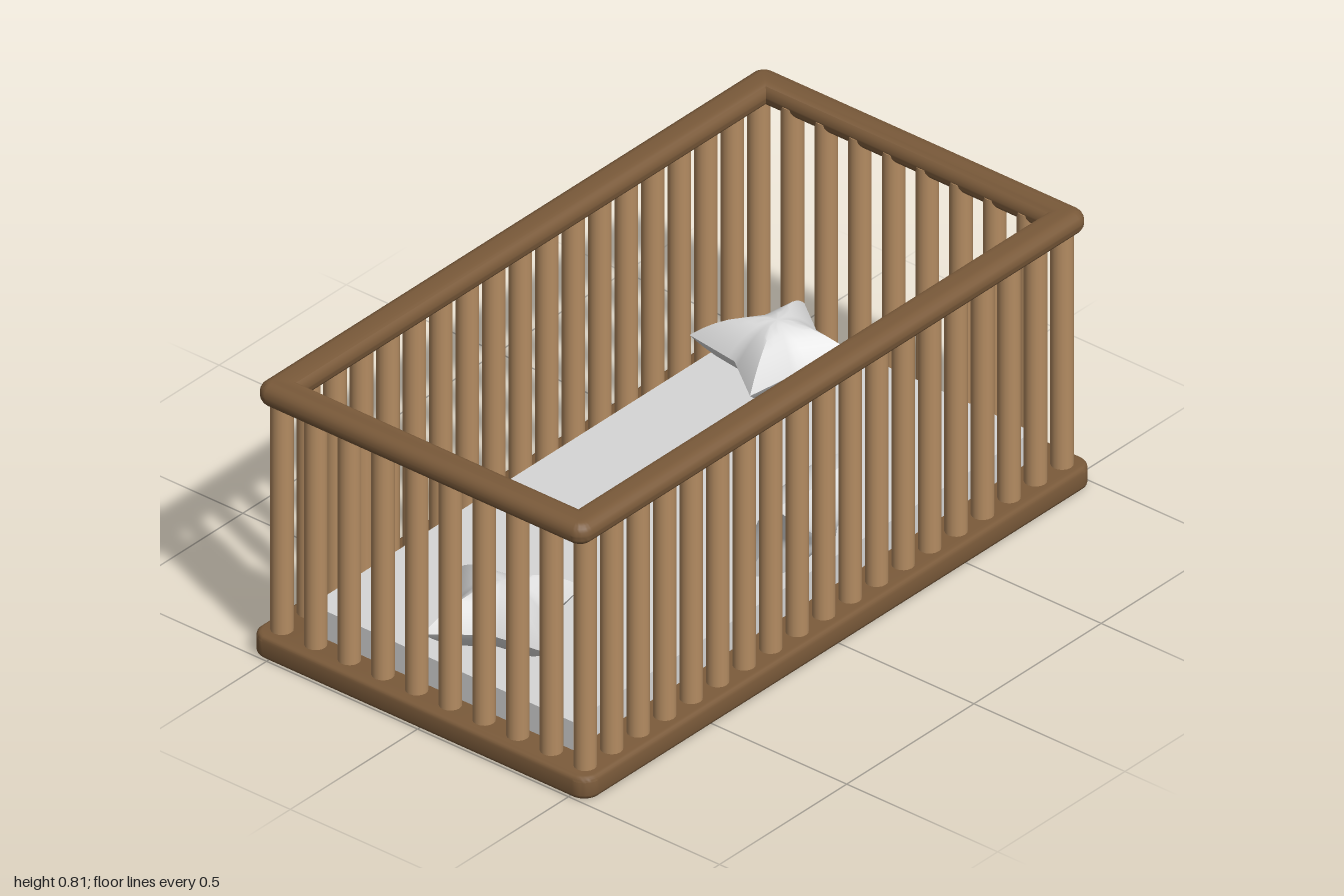
import * as THREE from 'three';
import { mergeVertices, toCreasedNormals } from 'three/addons/utils/BufferGeometryUtils.js';

const flat = (name, color) => {
  const m = new THREE.MeshStandardMaterial({ color });
  m.name = name;
  return m;
};

// Rectangle outline with rounded corners
function roundedRect(hx, hy, r) {
  const s = new THREE.Shape();
  s.absarc(hx - r, hy - r, r, 0, Math.PI / 2);
  s.absarc(-hx + r, hy - r, r, Math.PI / 2, Math.PI);
  s.absarc(-hx + r, -hy + r, r, Math.PI, Math.PI * 1.5);
  s.absarc(hx - r, -hy + r, r, Math.PI * 1.5, Math.PI * 2);
  s.closePath();
  return s;
}

// Lay an outline flat and raise it from y0 to y1 with rounded edges
function slab(shape, y0, y1, bevel, steps) {
  const geo = new THREE.ExtrudeGeometry(shape, {
    depth: y1 - y0 - 2 * bevel, bevelEnabled: true, bevelThickness: bevel,
    bevelSize: bevel, bevelSegments: steps, curveSegments: 5
  });
  geo.rotateX(-Math.PI / 2);
  geo.translate(0, y0 + bevel, 0);
  return toCreasedNormals(geo, 0.7);
}

// Puffed four-pointed star: a sphere pulled out to a star outline
function starCushionGeometry(tip, notch, halfThick) {
  const geo = new THREE.SphereGeometry(1, 32, 16);
  geo.deleteAttribute('uv');
  geo.deleteAttribute('normal');
  const p = geo.attributes.position;
  const a = Math.PI / 4;
  for (let i = 0; i < p.count; i++) {
    const x = p.getX(i), y = p.getY(i), z = p.getZ(i);
    const t = Math.min(1, Math.hypot(x, z));
    const ang = Math.atan2(z, x);
    const turn = ang - Math.round(ang / (2 * a)) * 2 * a;
    const phi = Math.abs(turn);
    const r = tip * notch * Math.sin(a) / (notch * Math.sin(a - phi) + tip * Math.sin(phi));
    const h = Math.abs(y) < 1e-6 ? 0 : Math.sign(y) * halfThick * (1 - Math.pow(t, 2.2));
    p.setXYZ(i, r * t * Math.cos(ang), h, r * t * Math.sin(ang));
  }
  return toCreasedNormals(mergeVertices(geo, 1e-5), 1.0);
}

export function createModel() {
  const model = new THREE.Group();
  const darkWood = flat('darkWood', 0x7a5a3a);
  const lightWood = flat('lightWood', 0xb48c62);
  const sheet = flat('sheet', 0xd6d6d6);
  const cushionCloth = flat('cushionCloth', 0xdedede);

  const add = (name, geo, mat, parent = model) => {
    const mesh = new THREE.Mesh(geo, mat);
    mesh.name = name;
    parent.add(mesh);
    return mesh;
  };

  // Solid base board
  const edge = 0.014;
  add('base', slab(roundedRect(0.56 - edge, 1 - edge, 0.035), 0, 0.066, edge, 3), darkWood);

  // Rounded top rail running all the way round
  const round = 0.03;
  const rail = roundedRect(0.545 - round, 1 - round, 0.012);
  const hx = 0.455 + round, hz = 0.91 + round;
  rail.holes.push(new THREE.Path([
    new THREE.Vector2(-hx, -hz), new THREE.Vector2(-hx, hz),
    new THREE.Vector2(hx, hz), new THREE.Vector2(hx, -hz)
  ]));
  add('topRail', slab(rail, 0.75, 0.815, round, 5), darkWood);

  // Upright bars: full rows on the long sides, the gaps filled at the ends
  const bars = new THREE.Group();
  bars.name = 'bars';
  model.add(bars);
  const barGeo = new THREE.CylinderGeometry(0.03, 0.03, 0.74, 16);
  const bar = (name, x, z) => add(name, barGeo, lightWood, bars).position.set(x, 0.41, z);
  const barX = 0.502, barZ = 0.937;
  for (const side of [-1, 1]) {
    for (let i = 0; i < 19; i++) {
      bar('sideBar', side * barX, -barZ + (2 * barZ * i) / 18);
    }
    for (let i = 1; i < 9; i++) {
      bar('endBar', -barX + (2 * barX * i) / 9, side * barZ);
    }
  }

  // Mattress
  add('mattress', new THREE.BoxGeometry(0.866, 0.1, 1.806), sheet).position.set(0, 0.1, 0);

  // Star cushions: two lying flat, one leaning against the left side bars
  const star = starCushionGeometry(0.232, 0.122, 0.09);
  const back = add('backCushion', star, cushionCloth);
  back.position.set(-0.242, 0.22, -0.7);
  back.rotation.y = 0.4;
  const front = add('frontCushion', star, cushionCloth);
  front.position.set(0.028, 0.222, 0.7);
  front.rotation.y = -0.36;
  const leaning = add('leaningCushion', star, cushionCloth);
  leaning.position.set(0.385, 0.285, -0.055);
  leaning.rotation.set(0, 0.685, 1.147, 'ZYX');

  return model;
}
